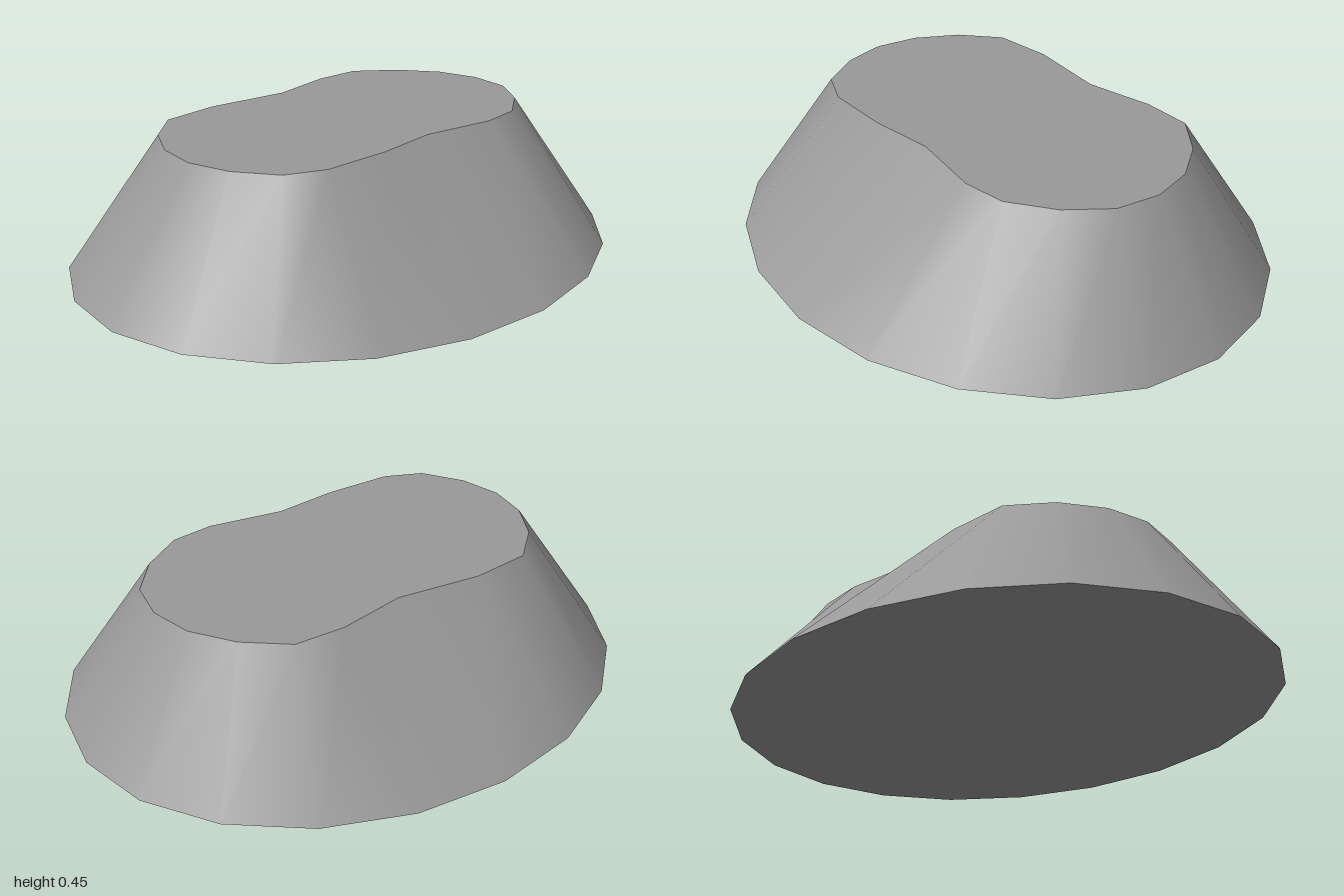
import * as THREE from 'three';

const HEIGHT = 0.45;
const SIDES = 20;

// Peanut-shaped top outline as [x, z], starting at the back and turning towards +x
const TOP = [
  [0, -0.72], [0.15, -0.69], [0.28, -0.585], [0.375, -0.44], [0.39, -0.29],
  [0.34, -0.03], [0.36, 0.2], [0.35, 0.44], [0.29, 0.57], [0.15, 0.655],
  [0, 0.685], [-0.15, 0.655], [-0.29, 0.57], [-0.4, 0.44], [-0.415, 0.23],
  [-0.37, -0.06], [-0.41, -0.3], [-0.4, -0.47], [-0.29, -0.6], [-0.15, -0.69],
];

// Oval base outline in the same order
const BASE = TOP.map((_, i) => {
  const a = (i / SIDES) * Math.PI * 2;
  return [0.84 * Math.sin(a), -Math.cos(a)];
});

// Flat cap from an outline; dir is 1 facing up, -1 facing down
function capGeometry(outline, y, dir) {
  const shape = new THREE.Shape(outline.map(([x, z]) => new THREE.Vector2(x, -z * dir)));
  return new THREE.ShapeGeometry(shape).rotateX((-dir * Math.PI) / 2).translate(0, y, 0);
}

// Smooth sloping wall joining the two outlines
function wallGeometry() {
  const positions = [];
  const index = [];
  for (let i = 0; i < SIDES; i++) {
    positions.push(BASE[i][0], 0, BASE[i][1], TOP[i][0], HEIGHT, TOP[i][1]);
    const b = i * 2, t = b + 1;
    const bNext = ((i + 1) % SIDES) * 2, tNext = bNext + 1;
    index.push(b, t, bNext, t, tNext, bNext);
  }
  const geometry = new THREE.BufferGeometry();
  geometry.setAttribute('position', new THREE.Float32BufferAttribute(positions, 3));
  geometry.setIndex(index);
  geometry.computeVertexNormals();
  return geometry;
}

export function createModel() {
  const group = new THREE.Group();
  group.name = 'taperedMound';
  const stone = new THREE.MeshStandardMaterial({ color: 0x999999 });
  stone.name = 'stone grey';

  const add = (name, geometry) => {
    const mesh = new THREE.Mesh(geometry, stone);
    mesh.name = name;
    group.add(mesh);
  };
  add('slopingWall', wallGeometry());
  add('topPlateau', capGeometry(TOP, HEIGHT, 1));
  add('underside', capGeometry(BASE, 0, -1));
  return group;
}
